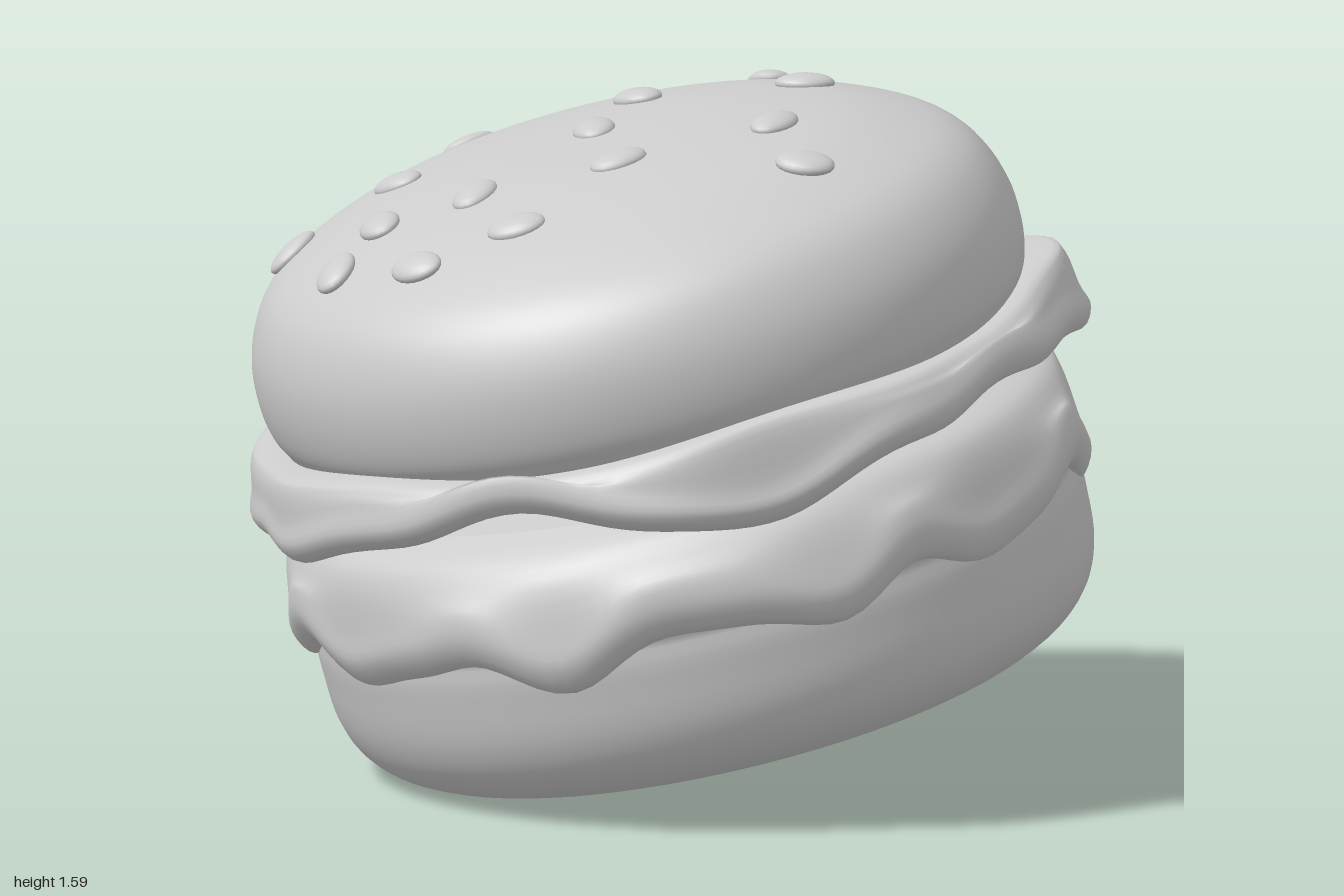
import * as THREE from 'three';

const material = new THREE.MeshStandardMaterial({ color: 0xcccccc, side: THREE.DoubleSide });
const TAU = Math.PI * 2;

function add(parent, name, geometry) {
  const mesh = new THREE.Mesh(geometry, material);
  mesh.name = name;
  parent.add(mesh);
  return mesh;
}

const spline = (points) => new THREE.SplineCurve(points.map(([r, h]) => new THREE.Vector2(r, h)));

// Smooth periodic value from samples spaced evenly around the circle, starting at +x towards +z
function around(samples) {
  const n = samples.length;
  return (angle) => {
    const f = (angle / TAU) * n, i = Math.floor(f), t = f - i;
    const [a, b, c, d] = [-1, 0, 1, 2].map((k) => samples[(i + k + n) % n]);
    return b + 0.5 * t * (c - a + t * (2 * a - 5 * b + 4 * c - d + t * (3 * (b - c) + d - a)));
  };
}

// Loft a [radius, height] section that changes with the angle
function layer(section, steps = 24, sides = 144) {
  const positions = [], index = [];
  for (let i = 0; i < sides; i++) {
    const angle = (i / sides) * TAU;
    for (const p of spline(section(angle)).getPoints(steps)) {
      positions.push(p.x * Math.cos(angle), p.y, p.x * Math.sin(angle));
    }
  }
  const row = steps + 1;
  for (let i = 0; i < sides; i++) {
    for (let j = 0; j < steps; j++) {
      const a = i * row + j, b = ((i + 1) % sides) * row + j;
      index.push(a, a + 1, b, b, a + 1, b + 1);
    }
  }
  const geometry = new THREE.BufferGeometry();
  geometry.setAttribute('position', new THREE.Float32BufferAttribute(positions, 3));
  geometry.setIndex(index);
  geometry.computeVertexNormals();
  return geometry;
}

export function createModel() {
  const model = new THREE.Group();
  model.name = 'burger';

  // Everything is stacked along one leaning axis
  const stack = new THREE.Group();
  stack.name = 'leaningStack';
  stack.position.set(0.035, 0.17, -0.13);
  stack.quaternion.setFromUnitVectors(
    new THREE.Vector3(0, 1, 0), new THREE.Vector3(-0.1, 1, 0.22).normalize());
  model.add(stack);

  // Bottom bun
  const bottom = spline([[0, 0], [0.4, 0], [0.68, 0], [0.79, 0.03], [0.86, 0.09], [0.895, 0.17],
    [0.905, 0.27], [0.9, 0.38], [0.84, 0.46], [0, 0.48]]);
  add(stack, 'bottomBun', new THREE.LatheGeometry(bottom.getPoints(48), 96));

  // Patty with a melted, scalloped lower rim
  const pattyRadius = around([0.965, 0.99, 0.99, 0.97, 0.95, 0.94, 0.93, 1.03, 0.99, 0.95, 0.93, 0.96]);
  const pattyRim = around([0.38, 0.4, 0.38, 0.39, 0.39, 0.38, 0.34, 0.3, 0.22, 0.22, 0.38, 0.4]);
  add(stack, 'patty', layer((a) => {
    const R = pattyRadius(a) + 0.01 * Math.sin(7 * a);
    const h = pattyRim(a) + 0.035 * Math.cos(10 * a - 0.6) + 0.012 * Math.sin(17 * a);
    return [[0.8, h + 0.01], [0.88, h - 0.02], [R - 0.03, h - 0.015], [R, h + 0.045],
      [R - 0.01, h + 0.11], [R * 0.5 + 0.45, 0.57], [0.89, 0.63], [0.8, 0.67]];
  }));

  // Wavy lettuce sheet
  const leafRadius = around([0.98, 0.97, 0.96, 0.99, 0.98, 0.97, 0.95, 0.96, 0.96, 0.98, 1.01, 0.95]);
  const leafRim = around([0.68, 0.61, 0.74, 0.67, 0.63, 0.64, 0.61, 0.63, 0.68, 0.64, 0.64, 0.69]);
  add(stack, 'lettuce', layer((a) => {
    const R = leafRadius(a) + 0.01 * Math.sin(11 * a + 1);
    const h = leafRim(a) + 0.01 * Math.sin(13 * a);
    const top = 0.82 + 0.015 * Math.sin(5 * a);
    return [[0.75, h + 0.06], [0.88, h + 0.02], [R - 0.035, h], [R, h + 0.045],
      [R - 0.015, h + 0.1], [R - 0.03, top - 0.015], [R - 0.07, top + 0.01], [0.75, top]];
  }));

  // Domed top bun
  const dome = spline([[0, 0.79], [0.55, 0.79], [0.82, 0.8], [0.88, 0.84], [0.903, 0.92], [0.9, 1.02],
    [0.87, 1.11], [0.82, 1.18], [0.74, 1.235], [0.6, 1.295], [0.45, 1.33], [0.25, 1.355], [0, 1.36]]);
  const domePoints = dome.getPoints(80);
  add(stack, 'topBun', new THREE.LatheGeometry(domePoints, 96));

  // Sesame seeds half sunk in the dome
  const seeds = [[-0.3, -0.13], [0.27, -0.08], [0.52, 0.04], [-0.17, 0.1], [0.12, 0.26], [-0.53, 0.41],
    [-0.12, 0.5], [0.15, 0.6], [-0.3, 0.65], [-0.67, 0.64], [0, 0.79], [-0.27, 0.82], [0, -0.38],
    [-0.3, -0.5], [-0.8, 0]];
  const seedShape = new THREE.SphereGeometry(1, 20, 12);
  const up = new THREE.Vector3(0, 1, 0);
  seeds.forEach(([x, z], i) => {
    const lx = x + 0.09, lz = (z - 0.15) / 0.977;
    const r = Math.min(Math.hypot(lx, lz), 0.84), a = Math.atan2(lz, lx);
    const k = domePoints.findIndex((p, j) => j > 40 && p.x <= r);
    const p = domePoints[k], q = domePoints[k - 1];
    const slope = new THREE.Vector2(p.y - q.y, q.x - p.x).normalize();
    const seed = add(stack, 'seed', seedShape);
    seed.position.set(r * Math.cos(a), p.y, r * Math.sin(a));
    const normal = new THREE.Vector3(slope.x * Math.cos(a), slope.y, slope.x * Math.sin(a));
    seed.quaternion.setFromUnitVectors(up, normal);
    seed.rotateY(i * 1.9);
    seed.scale.set(0.07, 0.024, 0.05);
  });

  return model;
}
